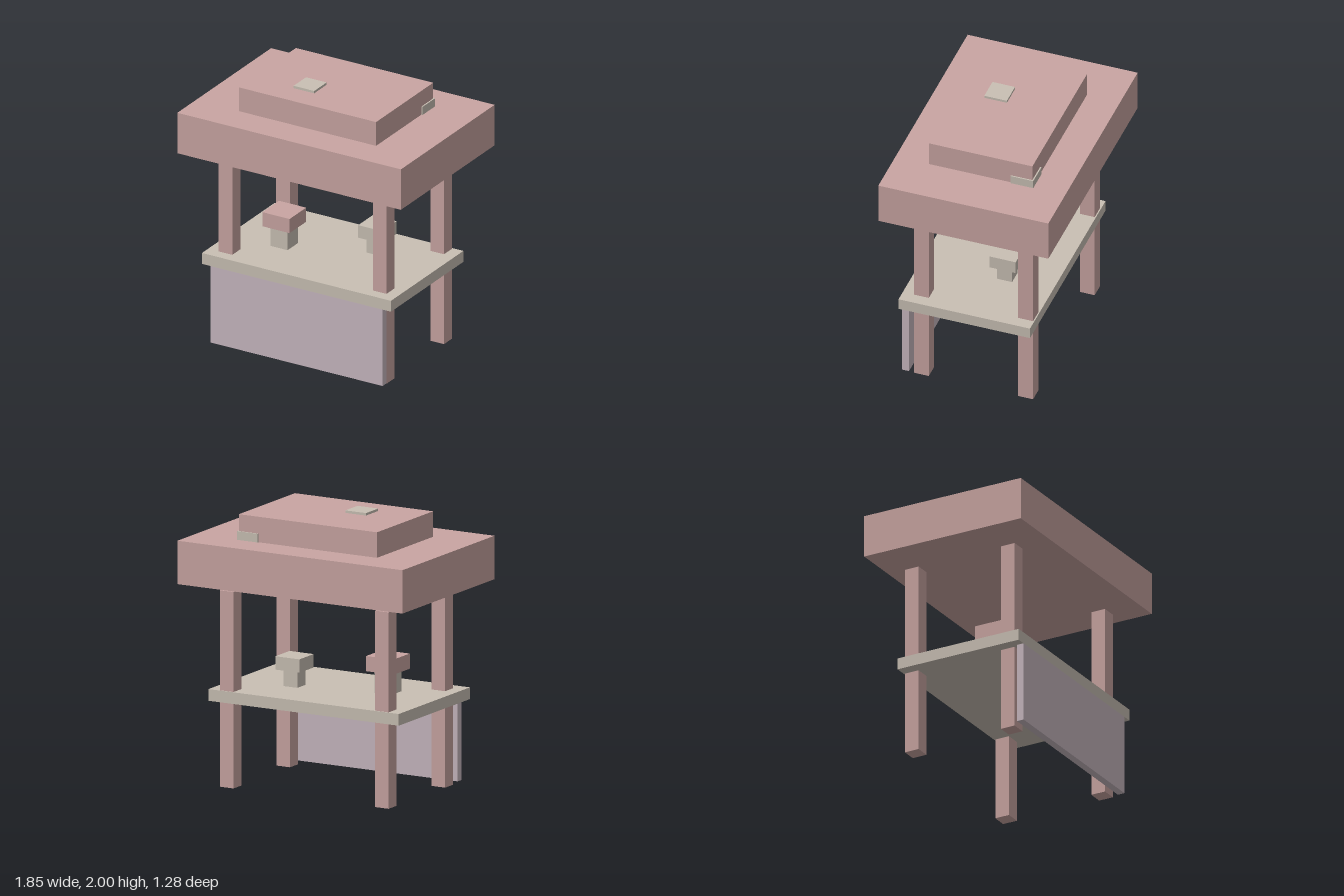
import * as THREE from 'three';

export function createModel() {
  const model = new THREE.Group();
  model.name = 'mushroomStall';

  const rose = new THREE.MeshStandardMaterial({ color: 0xc9a5a2 });
  rose.name = 'dusty rose';
  const cream = new THREE.MeshStandardMaterial({ color: 0xc9c0b4 });
  cream.name = 'warm cream';
  const mauve = new THREE.MeshStandardMaterial({ color: 0xc8b8c0 });
  mauve.name = 'pale mauve';

  // Adds a box spanning the given ranges
  function box(name, material, [x0, x1], [y0, y1], [z0, z1], parent = model) {
    const mesh = new THREE.Mesh(new THREE.BoxGeometry(x1 - x0, y1 - y0, z1 - z0), material);
    mesh.position.set((x0 + x1) / 2, (y0 + y1) / 2, (z0 + z1) / 2);
    mesh.name = name;
    parent.add(mesh);
  }

  // Four corner posts
  for (const [side, x] of [['left', 0.638], ['right', -0.638]]) {
    for (const [end, z] of [['Front', 0.4], ['Back', -0.385]]) {
      box(`${side}${end}Post`, rose, [x - 0.056, x + 0.056], [0, 1.425], [z - 0.056, z + 0.056]);
    }
  }

  // Counter and its front panel
  box('counterTop', cream, [-0.782, 0.782], [0.615, 0.7], [-0.45, 0.54]);
  box('frontPanel', mauve, [-0.713, 0.713], [0.02, 0.615], [0.486, 0.54]);

  // Mushrooms on display
  function mushroom(name, capMaterial, x, z, base, neck, top, capWidth, stemWidth) {
    const group = new THREE.Group();
    group.name = name;
    model.add(group);
    const span = (c, w) => [c - w / 2, c + w / 2];
    box('stem', cream, span(x, stemWidth), [base, neck], span(z, stemWidth), group);
    box('cap', capMaterial, span(x, capWidth), [neck, top], span(z, capWidth), group);
  }
  mushroom('largeMushroom', rose, -0.358, 0.116, 0.7, 0.86, 0.97, 0.226, 0.14);
  mushroom('smallMushroom', cream, 0.283, -0.098, 0.715, 0.838, 0.935, 0.198, 0.112);

  // Stepped cap roof with pale spots
  box('lowerRoof', rose, [-0.925, 0.925], [1.482, 1.797], [-0.64, 0.64]);
  box('upperRoof', rose, [-0.568, 0.568], [1.797, 1.982], [-0.39, 0.39]);
  box('topSpot', cream, [-0.229, -0.059], [1.94, 2], [0.03, 0.2]);
  box('cornerSpot', cream, [0.408, 0.578], [1.79, 1.86], [-0.4, -0.228]);

  return model;
}
